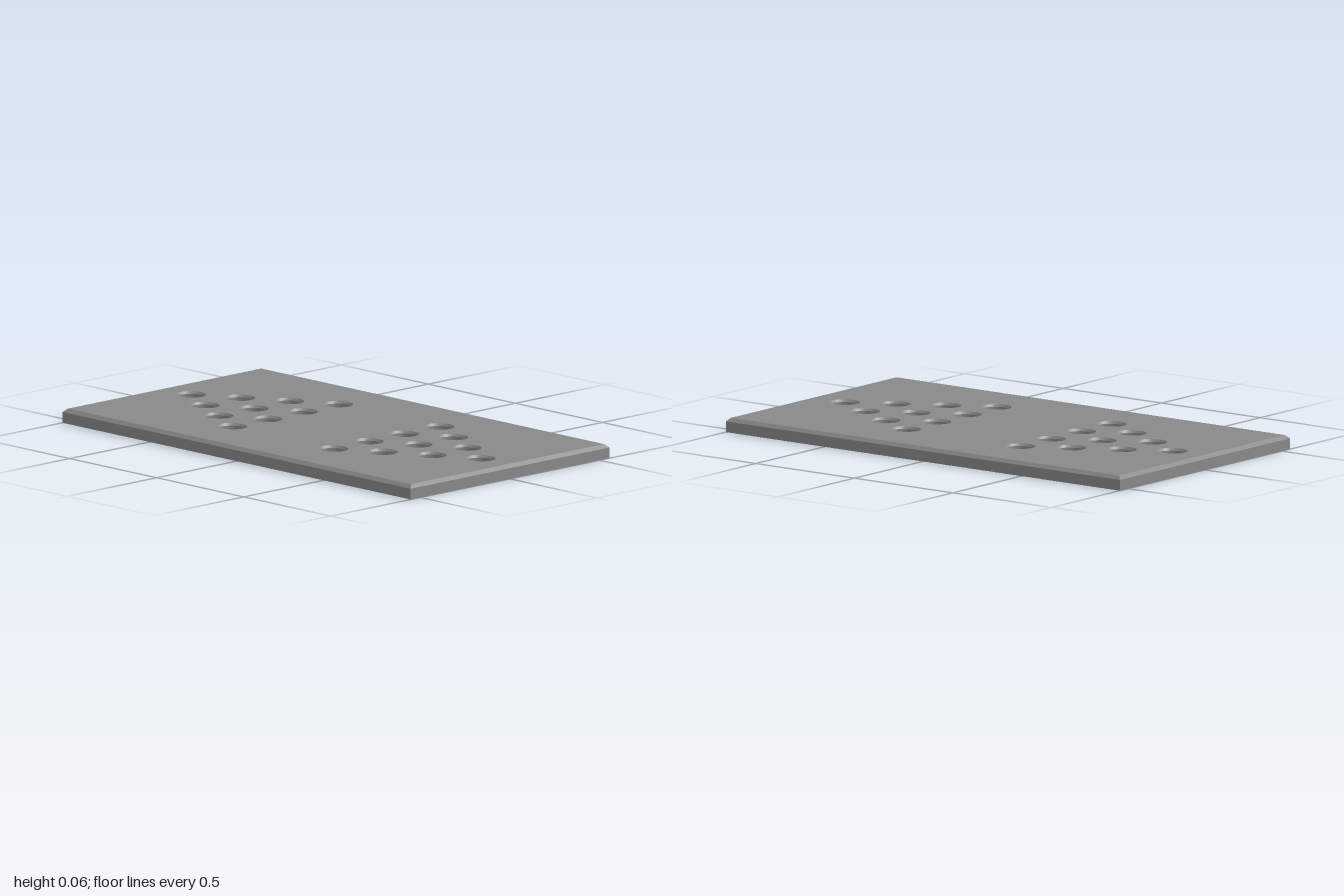
import * as THREE from 'three';
import { mergeGeometries, toCreasedNormals } from 'three/addons/utils/BufferGeometryUtils.js';

const HEIGHT = 0.058, CHAMFER_Y = 0.044, MOUTH_Y = 0.048, HALF_W = 0.554, HALF_L = 1;

// Loops are Vector2(x, -z): counter-clockwise outside, clockwise for holes
function rectLoop(w, l) {
  return [[-w, -l], [w, -l], [w, l], [-w, l]].map(([x, y]) => new THREE.Vector2(x, y));
}

function holeLoop(x, z, rx, rz, n = 32) {
  return Array.from({ length: n }, (_, i) => {
    const a = -i / n * Math.PI * 2;
    return new THREE.Vector2(x + rx * Math.cos(a), -z + rz * Math.sin(a));
  });
}

// Band joining a lower loop to an upper loop
function band(low, y0, high, y1) {
  const pos = [];
  low.forEach((a, i) => {
    const j = (i + 1) % low.length, b = low[j], c = high[j], d = high[i];
    pos.push(a.x, y0, -a.y, b.x, y0, -b.y, c.x, y1, -c.y);
    pos.push(a.x, y0, -a.y, c.x, y1, -c.y, d.x, y1, -d.y);
  });
  return new THREE.BufferGeometry().setAttribute('position', new THREE.Float32BufferAttribute(pos, 3));
}

// Flat perforated face, turned to look up or down
function face(outline, holes, y, down) {
  const shape = new THREE.Shape(outline);
  shape.holes = holes.map(h => new THREE.Path(h));
  const g = new THREE.ShapeGeometry(shape);
  if (down) g.setIndex(Array.from(g.index.array).reverse());
  const flat = g.rotateX(-Math.PI / 2).translate(0, y, 0).toNonIndexed();
  flat.deleteAttribute('uv');
  flat.deleteAttribute('normal');
  return flat;
}

export function createModel() {
  const group = new THREE.Group();
  group.name = 'perforatedBoard';

  // Two triangles of holes, wide rows towards the middle
  const centres = [];
  for (const side of [-1, 1]) {
    for (let row = 0; row < 4; row++) {
      const count = 4 - row;
      const z = side * (0.291 + row * 0.18) - 0.002;
      for (let i = 0; i < count; i++) centres.push([(i - (count - 1) / 2) * 0.197, z]);
    }
  }
  const bores = centres.map(([x, z]) => holeLoop(x, z, 0.051, 0.056));
  const rims = centres.map(([x, z]) => holeLoop(x, z, 0.058, 0.063));

  // Board with a chamfered upper edge
  const base = rectLoop(HALF_W, HALF_L);
  const top = rectLoop(HALF_W - 0.015, HALF_L - 0.015);
  const parts = [
    face(top, rims, HEIGHT, false),
    face(base, bores, 0, true),
    band(base, 0, base, CHAMFER_Y),
    band(base, CHAMFER_Y, top, HEIGHT),
  ];

  // Straight bores with a small chamfer at the mouth
  bores.forEach((bore, i) => {
    parts.push(band(bore, 0, bore, MOUTH_Y), band(bore, MOUTH_Y, rims[i], HEIGHT));
  });

  const board = new THREE.Mesh(
    toCreasedNormals(mergeGeometries(parts), 0.3),
    new THREE.MeshStandardMaterial({ color: 0x898989 })
  );
  board.name = 'board';
  group.add(board);
  return group;
}
